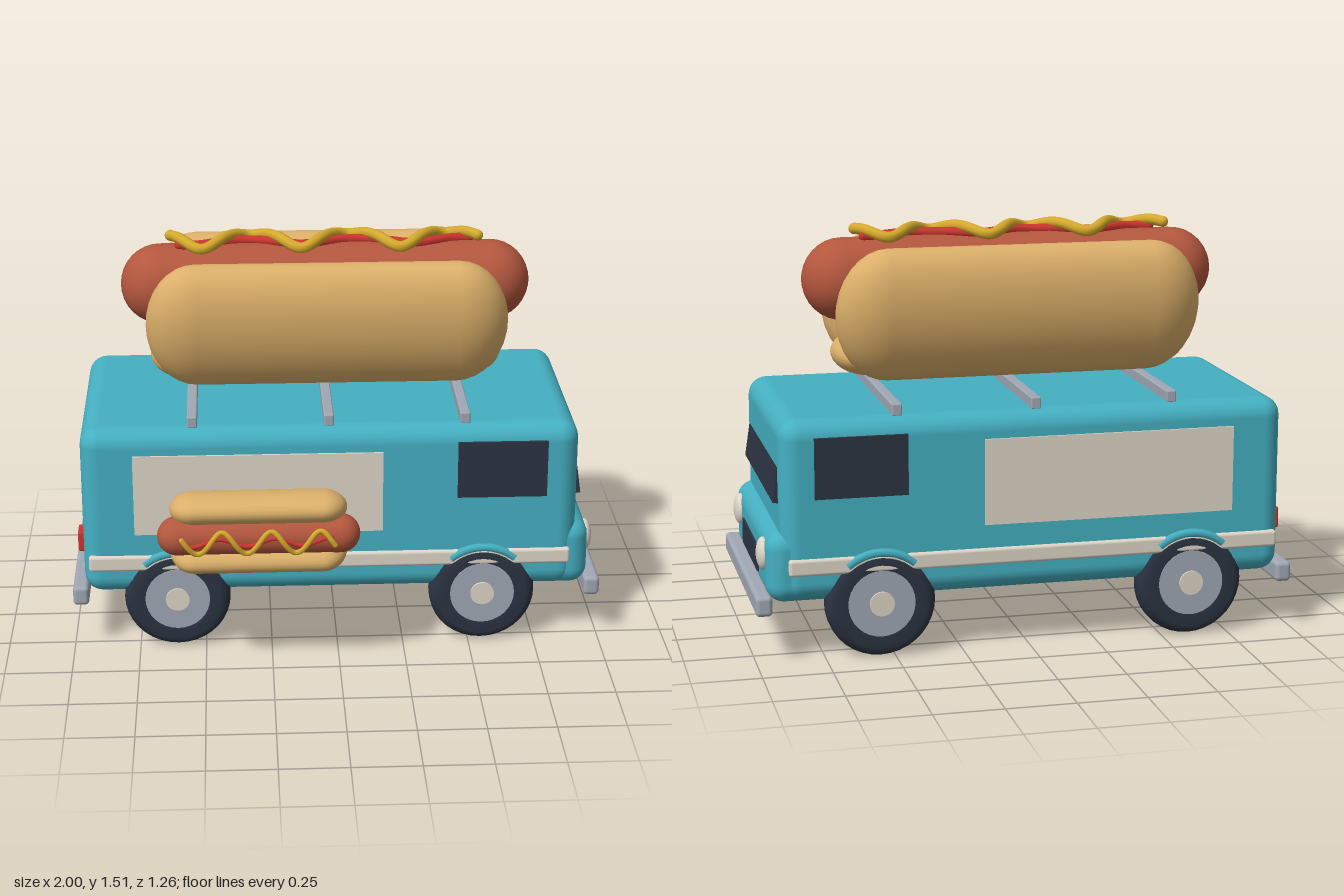
import * as THREE from 'three';
import { RoundedBoxGeometry } from 'three/addons/geometries/RoundedBoxGeometry.js';

const paint = (name, color) => {
  const m = new THREE.MeshStandardMaterial({ color });
  m.name = name;
  return m;
};

export function createModel() {
  const teal = paint('teal paint', 0x45b0c2);
  const cream = paint('cream', 0xddd6c7);
  const dark = paint('dark glass and rubber', 0x2c3442);
  const metal = paint('grey metal', 0xa0a8b4);
  const red = paint('red', 0xcc352f);
  const bread = paint('bread', 0xdcb06a);
  const meat = paint('sausage', 0xb4573e);
  const yellow = paint('mustard', 0xd6aa2c);

  const add = (parent, name, geometry, material, x = 0, y = 0, z = 0) => {
    const mesh = new THREE.Mesh(geometry, material);
    mesh.name = name;
    mesh.position.set(x, y, z);
    parent.add(mesh);
    return mesh;
  };
  const rounded = (w, h, d, r) => new RoundedBoxGeometry(w, h, d, 4, r);

  // Pill lying along x, with elliptical section and domed ends
  const pill = (halfLength, dome, ry, rz) => {
    const pts = [];
    for (let i = 0; i <= 16; i++) {
      const a = -Math.PI / 2 + (i / 16) * Math.PI;
      const side = i < 8 ? -1 : 1;
      const add2 = (s) => pts.push(new THREE.Vector2(Math.max(Math.cos(a), 0), Math.sin(a) * dome + s * (halfLength - dome)));
      if (i === 8) add2(-1);
      add2(side);
    }
    return new THREE.LatheGeometry(pts, 28).rotateZ(-Math.PI / 2).scale(1, ry, rz);
  };

  // Sauce line that waves across the top of the sausage
  const sauce = (x0, x1, amplitude, period, peak, height, radius) => {
    const pts = [];
    for (let i = 0; i <= 60; i++) {
      const x = x0 + ((x1 - x0) * i) / 60;
      const z = -amplitude * Math.cos((2 * Math.PI * (x - peak)) / period);
      pts.push(new THREE.Vector3(x, Math.sqrt(height * height - z * z), z));
    }
    return { curve: new THREE.CatmullRomCurve3(pts), radius, ends: [pts[0], pts[60]] };
  };
  const addSauce = (parent, name, s, material) => {
    add(parent, name, new THREE.TubeGeometry(s.curve, 160, s.radius, 8), material);
    for (const p of s.ends) add(parent, name + 'End', new THREE.SphereGeometry(s.radius, 10, 8), material, p.x, p.y, p.z);
  };

  // Hot dog centred on the sausage axis
  const hotDog = (name) => {
    const g = new THREE.Group();
    g.name = name;
    add(g, 'sausage', pill(0.775, 0.15, 0.152, 0.15), meat);
    for (const s of [-1, 1]) {
      const half = add(g, 'bunHalf', pill(0.68, 0.19, 0.25, 0.13), bread, 0, -0.11, s * 0.175);
      half.rotation.x = s * 0.2;
    }
    add(g, 'bunBase', pill(0.67, 0.13, 0.08, 0.19), bread, 0, -0.275, 0);
    add(g, 'sausageSupport', new THREE.BoxGeometry(1.25, 0.06, 0.11), cream, 0, -0.165, 0);
    addSauce(g, 'ketchup', sauce(-0.55, 0.55, 0.03, 0.42, -0.3, 0.16, 0.018), red);
    addSauce(g, 'mustard', sauce(-0.585, 0.575, 0.087, 0.373, -0.28, 0.182, 0.021), yellow);
    return g;
  };

  const model = new THREE.Group();
  model.name = 'foodTruck';
  const truck = new THREE.Group();
  truck.name = 'truck';
  truck.position.z = -0.157;
  model.add(truck);

  // Body and nose
  add(truck, 'body', rounded(1.86, 0.66, 0.904, 0.07), teal, -0.025, 0.55, 0);
  add(truck, 'nose', rounded(0.36, 0.26, 0.884, 0.065), teal, 0.775, 0.345, 0);

  // Slanted windscreen
  const glass = new THREE.Shape();
  glass.moveTo(-0.38, -0.064).lineTo(0.38, -0.064).lineTo(0.37, 0.064).lineTo(-0.37, 0.064).closePath();
  const screen = add(truck, 'windscreen',
    new THREE.ExtrudeGeometry(glass, { depth: 0.03, bevelEnabled: false }).rotateY(Math.PI / 2),
    dark, 0.885, 0.637, 0);
  screen.rotation.z = 0.14;

  // Face: grille, headlights, tail lights
  add(truck, 'grille', new THREE.BoxGeometry(0.02, 0.095, 0.41), dark, 0.952, 0.328, 0);
  for (const s of [-1, 1]) {
    const lamp = add(truck, 'headlight', new THREE.SphereGeometry(0.06, 24, 16), cream, 0.953, 0.38, s * 0.322);
    lamp.scale.x = 0.45;
    add(truck, 'tailLight', rounded(0.03, 0.08, 0.08, 0.008), red, -0.963, 0.405, s * 0.325);
    add(truck, 'bumper', rounded(0.06, 0.075, 0.91, 0.016), metal, s * 0.97, 0.218, 0);
  }

  // Side panels, windows and trim
  for (const s of [-1, 1]) {
    add(truck, 'servicePanel', new THREE.BoxGeometry(0.93, 0.315, 0.018), cream, -0.295, 0.628, s * 0.451);
    add(truck, 'cabWindow', new THREE.BoxGeometry(0.335, 0.22, 0.018), dark, 0.617, 0.71, s * 0.454);
    add(truck, 'sideTrim', rounded(1.815, 0.062, 0.03, 0.012), cream, -0.027, 0.353, s * 0.449);
  }

  // Roof rails
  for (const x of [-0.537, -0.03, 0.478]) {
    add(truck, 'roofRail', rounded(0.038, 0.045, 0.81, 0.006), metal, x, 0.896, 0);
  }

  // Wheels with hubs, under arches
  const tyreProfile = [[0.11, -0.045], [0.165, -0.052], [0.188, -0.035], [0.2, -0.015],
    [0.2, 0.015], [0.188, 0.035], [0.165, 0.052], [0.11, 0.045]].map(([r, y]) => new THREE.Vector2(r, y));
  const tyre = new THREE.LatheGeometry(tyreProfile, 36).rotateX(Math.PI / 2);
  const disc = (r, d) => new THREE.CylinderGeometry(r, r, d, 32).rotateX(Math.PI / 2);
  const arch = new THREE.TorusGeometry(0.187, 0.016, 8, 20, 1.4).rotateZ(Math.PI / 2 - 0.7);
  for (const x of [-0.605, 0.55]) {
    for (const s of [-1, 1]) {
      const wheel = new THREE.Group();
      wheel.name = 'wheel';
      wheel.position.set(x, 0.205, s * 0.415);
      truck.add(wheel);
      add(wheel, 'tyre', tyre, dark);
      add(wheel, 'hub', disc(0.122, 0.096), metal);
      add(wheel, 'hubCap', disc(0.045, 0.112), cream);
      add(truck, 'wheelArch', arch, teal, x, 0.205, s * 0.456);
    }
  }

  // Large hot dog over the roof
  const big = hotDog('roofHotDog');
  big.position.set(-0.025, 1.308, 0);
  truck.add(big);

  // Small hot dog at the service side, facing outward
  const small = hotDog('sideHotDog');
  small.scale.setScalar(0.477);
  small.rotation.x = Math.PI / 2;
  small.position.set(-0.298, 0.568, 0.53);
  model.add(small);

  return model;
}
